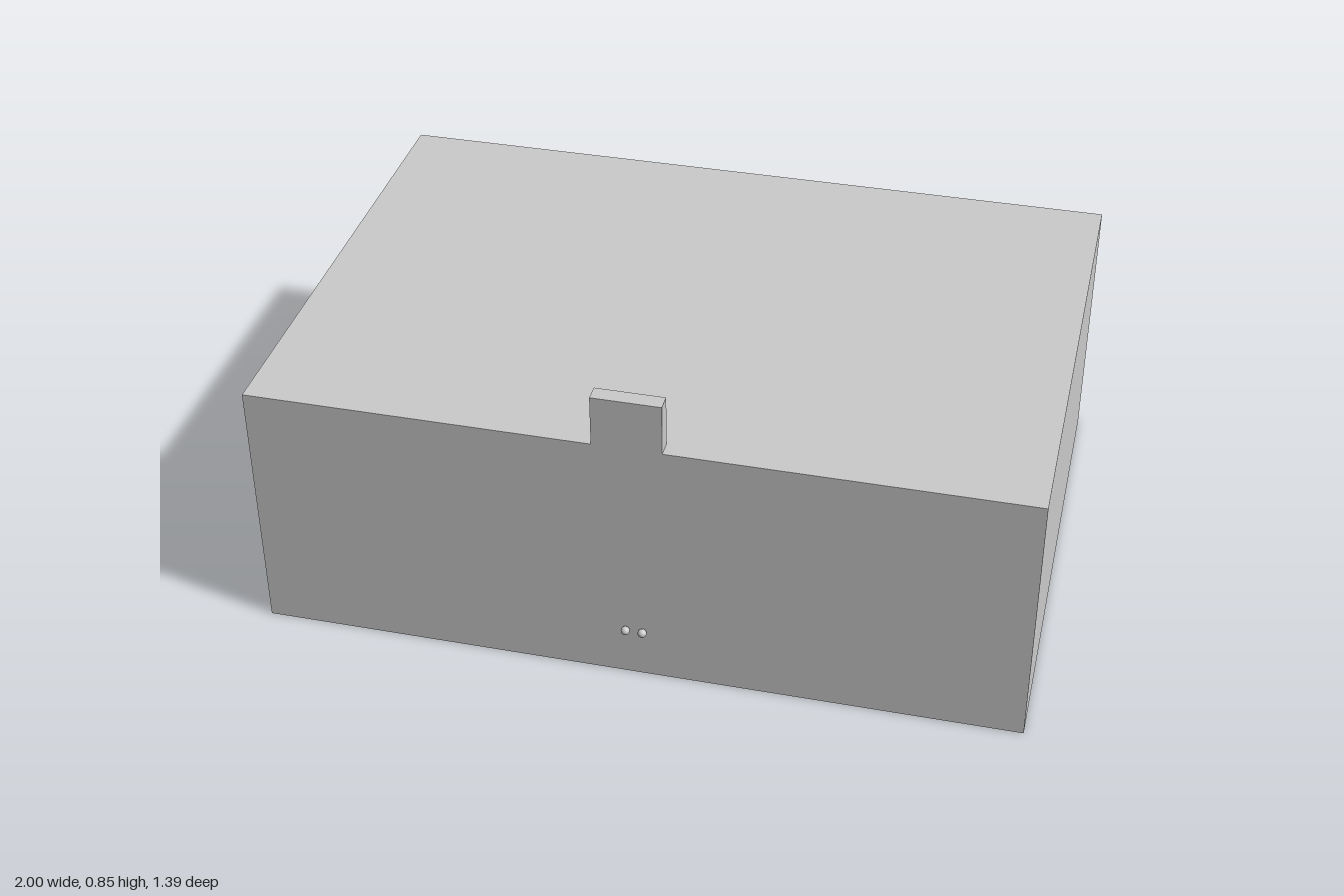
import * as THREE from 'three';

export function createModel() {
  const group = new THREE.Group();
  const material = new THREE.MeshStandardMaterial({ color: 0xcccccc });

  const add = (name, geometry, x, y, z) => {
    const mesh = new THREE.Mesh(geometry, material);
    mesh.name = name;
    mesh.position.set(x, y, z);
    group.add(mesh);
  };

  const front = 0.674, back = -0.697, height = 0.71;

  // Main block
  add('body', new THREE.BoxGeometry(2, height, front - back), 0, height / 2, (front + back) / 2);

  // Upright tab, flush with the front face and slightly off centre
  const tabHeight = 0.137, tabDepth = 0.043;
  add('tab', new THREE.BoxGeometry(0.178, tabHeight, tabDepth),
    -0.013, height + tabHeight / 2, front - tabDepth / 2);

  // Pair of small round knobs touching the front face
  const radius = 0.0115;
  const knob = new THREE.SphereGeometry(radius, 24, 16);
  add('rightKnob', knob, -0.023, 0.143, front + radius);
  add('leftKnob', knob, 0.021, 0.143, front + radius);

  return group;
}
